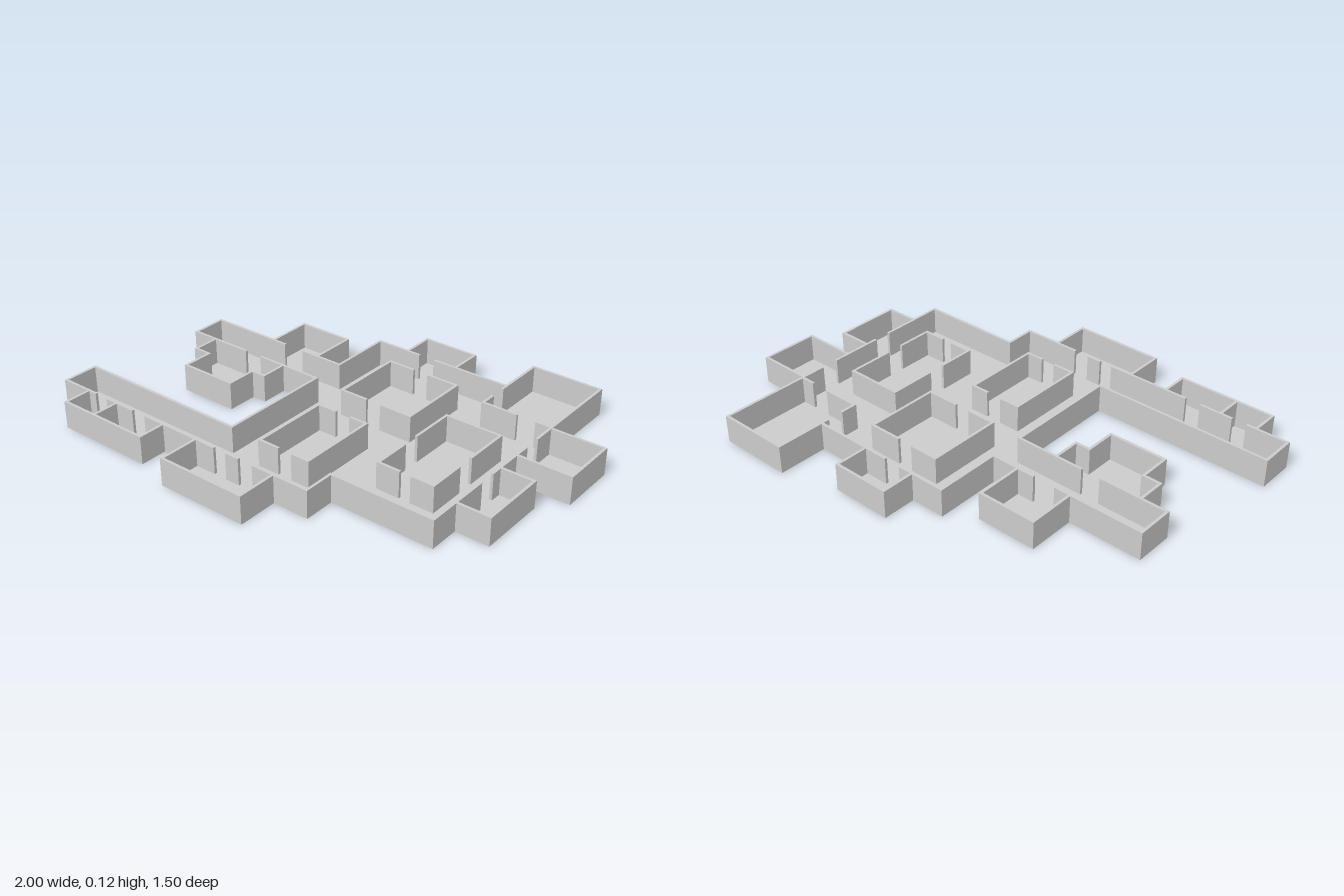
import * as THREE from 'three';

const H = 0.12;      // wall height
const T = 0.012;     // wall thickness
const FLOOR = 0.004; // slab thickness

// Outer edge of the plan as [x, z] corners, interior on the right-hand side
const OUTLINE = [
  // north room, hall, north-east room
  [-0.06, -0.68], [0.2, -0.68], [0.2, -0.535], [0.44, -0.535], [0.44, -0.75], [0.765, -0.75],
  // two east rooms
  [0.765, -0.355], [1, -0.355], [1, -0.095], [0.765, -0.095],
  [0.765, 0.005], [0.91, 0.005], [0.91, 0.305], [0.765, 0.305], [0.765, 0.44],
  // south rooms and south-west corridor
  [0.31, 0.44], [0.31, 0.575], [0.15, 0.575], [0.15, 0.75], [-0.255, 0.75], [-0.255, 0.575],
  [-0.42, 0.575], [-0.42, 0.695], [-0.86, 0.695], [-0.86, 0.575], [-1, 0.575], [-1, 0.41], [-0.21, 0.41],
  // west corridor with its rooms
  [-0.21, -0.085], [-0.38, -0.085], [-0.38, 0.035], [-0.445, 0.035], [-0.445, 0.17], [-0.71, 0.17],
  [-0.71, 0.035], [-0.785, 0.035], [-0.785, -0.085], [-0.9, -0.085], [-0.9, -0.25], [-0.58, -0.25],
  [-0.58, -0.455], [-0.32, -0.455], [-0.32, -0.25], [-0.21, -0.25], [-0.21, -0.535], [-0.06, -0.535],
];

// Move every right-angled corner inward by d
function inset(points, d) {
  const n = points.length;
  const normal = (a, b) => [-Math.sign(b[1] - a[1]), Math.sign(b[0] - a[0])];
  return points.map((p, i) => {
    const u = normal(points[(i + n - 1) % n], p);
    const v = normal(p, points[(i + 1) % n]);
    return [p[0] + d * (u[0] + v[0]), p[1] + d * (u[1] + v[1])];
  });
}

const toVectors = (points) => points.map(([x, z]) => new THREE.Vector2(x, z));

// Extrude a plan shape upward between two heights
function extrudePlan(shape, y0, y1) {
  const geo = new THREE.ExtrudeGeometry(shape, { depth: y1 - y0, bevelEnabled: false });
  return geo.rotateX(Math.PI / 2).translate(0, y1, 0);
}

export function createModel() {
  const model = new THREE.Group();
  model.name = 'floorPlan';
  const material = new THREE.MeshStandardMaterial({ color: 0xcccccc });

  const add = (parent, name, geometry) => {
    const mesh = new THREE.Mesh(geometry, material);
    mesh.name = name;
    parent.add(mesh);
    return mesh;
  };

  // Floor slab and the continuous outer wall
  add(model, 'floor', extrudePlan(new THREE.Shape(toVectors(OUTLINE)), 0, FLOOR));
  const ring = new THREE.Shape(toVectors(OUTLINE));
  ring.holes.push(new THREE.Path(toVectors(inset(OUTLINE, T))));
  add(model, 'outerWall', extrudePlan(ring, FLOOR, H));

  // Straight wall on a centre line, broken by full-height doorways [start, end]
  function wall(parent, name, axis, line, from, to, doors = []) {
    const stops = [from, ...doors.flat(), to];
    for (let i = 0; i < stops.length; i += 2) {
      const length = stops[i + 1] - stops[i];
      const middle = (stops[i] + stops[i + 1]) / 2;
      const alongX = axis === 'x';
      const geo = new THREE.BoxGeometry(alongX ? length : T, H - FLOOR, alongX ? T : length);
      const mesh = add(parent, name, geo);
      mesh.position.set(alongX ? middle : line, (H + FLOOR) / 2, alongX ? line : middle);
    }
  }

  // Partitions between the hall, corridors and outer rooms
  const partitions = new THREE.Group();
  partitions.name = 'partitions';
  model.add(partitions);
  wall(partitions, 'northRoomWall', 'x', -0.529, -0.05, 0.19, [[0.01, 0.085]]);
  wall(partitions, 'northEastRoomWestWall', 'z', 0.446, -0.53, -0.35, [[-0.495, -0.425]]);
  wall(partitions, 'northEastRoomSouthWall', 'x', -0.355, 0.452, 0.755, [[0.605, 0.69]]);
  wall(partitions, 'eastRoomWall', 'z', 0.759, -0.345, -0.1, [[-0.245, -0.17]]);
  wall(partitions, 'smallEastRoomWall', 'z', 0.759, 0.01, 0.3, [[0.065, 0.14]]);
  wall(partitions, 'northWestRoomWall', 'x', -0.244, -0.57, -0.33, [[-0.505, -0.405]]);
  wall(partitions, 'westRoomWall', 'x', -0.091, -0.775, -0.39, [[-0.595, -0.51]]);
  wall(partitions, 'southWestRoomsWall', 'x', 0.569, -0.85, -0.43, [[-0.81, -0.745], [-0.595, -0.525]]);
  wall(partitions, 'southWestDivider', 'z', -0.69, 0.575, 0.685);
  wall(partitions, 'southRoomWall', 'x', 0.569, -0.245, 0.14, [[-0.15, -0.09], [-0.025, 0.045]]);

  // Free-standing room inside the hall, given by its outer rectangle
  function innerRoom(name, x0, x1, z0, z1, doors) {
    const room = new THREE.Group();
    room.name = name;
    model.add(room);
    const h = T / 2;
    wall(room, 'backWall', 'x', z0 + h, x0, x1, doors.back);
    wall(room, 'frontWall', 'x', z1 - h, x0, x1, doors.front);
    wall(room, 'rightWall', 'z', x0 + h, z0 + T, z1 - T, doors.sides);
    wall(room, 'leftWall', 'z', x1 - h, z0 + T, z1 - T, doors.sides);
  }
  innerRoom('backInnerRoom', -0.06, 0.29, -0.41, -0.075, { back: [[0.07, 0.14]], front: [[0.07, 0.14]] });
  innerRoom('frontInnerRoom', -0.06, 0.19, 0.065, 0.425, { back: [[0.035, 0.105]], front: [[0.04, 0.105]] });
  innerRoom('eastInnerRoom', 0.385, 0.645, -0.185, 0.268, { front: [[0.49, 0.54]], sides: [[0.025, 0.1]] });

  return model;
}
